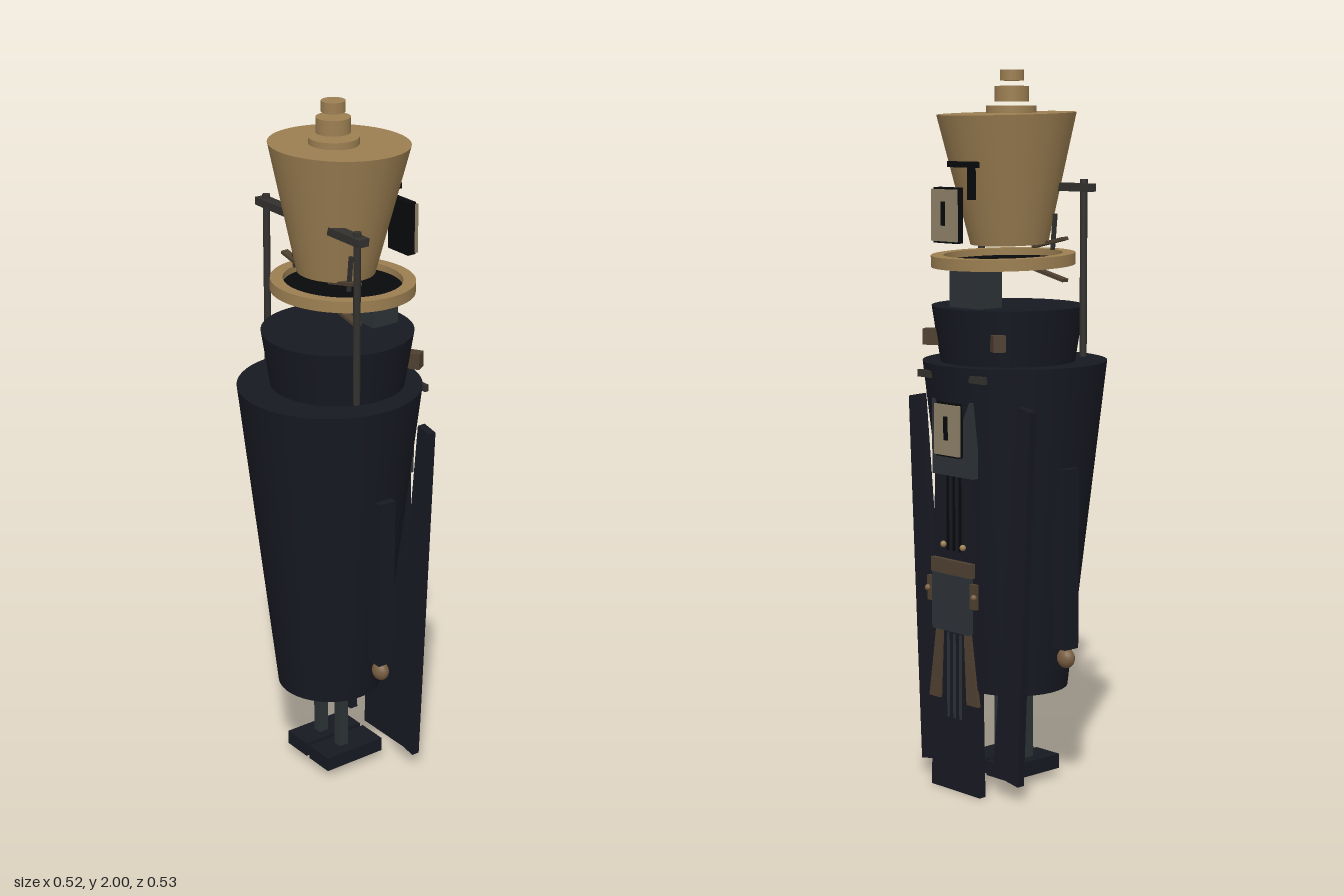
import * as THREE from 'three';

const material = (color) => new THREE.MeshStandardMaterial({ color });

export function createModel() {
  const model = new THREE.Group();
  const tan = material(0x9c7f52), navy = material(0x171922), slate = material(0x2c3236);
  const metal = material(0x33312e), brown = material(0x4e4030), black = material(0x08090b);
  const pale = material(0x8f8168), skin = material(0x7a5f42);

  const add = (name, geometry, mat, x, y, z, parent = model) => {
    const mesh = new THREE.Mesh(geometry, mat);
    mesh.name = name;
    mesh.position.set(x, y, z);
    parent.add(mesh);
    return mesh;
  };
  const box = (name, w, h, d, mat, x, y, z, parent) =>
    add(name, new THREE.BoxGeometry(w, h, d), mat, x, y, z, parent);
  // Round part given by its bottom and top heights
  const cone = (name, rTop, rBottom, y0, y1, mat, z, parent) =>
    add(name, new THREE.CylinderGeometry(rTop, rBottom, y1 - y0, 64), mat, 0, (y0 + y1) / 2, z, parent);
  // Flat panel from an outline in x and y
  const panel = (name, points, depth, mat, z) => {
    const shape = new THREE.Shape(points.map(([x, y]) => new THREE.Vector2(x, y)));
    return add(name, new THREE.ExtrudeGeometry(shape, { depth, bevelEnabled: false }), mat, 0, 0, z);
  };

  // Body
  cone('body', 0.258, 0.15, 0.27, 1.2, navy, 0.005);
  cone('upperTorso', 0.212, 0.18, 1.15, 1.355, navy, -0.022);
  box('neck', 0.12, 0.115, 0.085, slate, 0, 1.41, -0.143);

  // Brim ring with a dark recess
  const brim = new THREE.Group();
  brim.name = 'brim';
  brim.position.set(0, 1.482, -0.04);
  brim.rotation.x = -0.03;
  model.add(brim);
  const rim = [[0, -0.016], [0.2, -0.016], [0.2, -0.016], [0.2, 0.016], [0.2, 0.016],
    [0.165, 0.016], [0.165, 0.016], [0.165, -0.004]];
  add('brimRing', new THREE.LatheGeometry(rim.map(([r, y]) => new THREE.Vector2(r, y)), 64), tan, 0, 0, 0, brim);
  add('brimRecess', new THREE.CylinderGeometry(0.166, 0.166, 0.006, 64), black, 0, -0.006, 0, brim);

  // Tilted head
  const head = new THREE.Group();
  head.name = 'head';
  head.position.set(0, 1.705, -0.022);
  head.rotation.x = -0.03;
  model.add(head);
  cone('headCone', 0.193, 0.108, -0.18, 0.177, tan, 0, head);

  // Stacked finial
  cone('finialBase', 0.069, 0.069, 1.882, 1.902, tan, -0.009);
  cone('finialMiddle', 0.047, 0.047, 1.914, 1.956, tan, -0.007);
  cone('finialTop', 0.033, 0.033, 1.97, 2, tan, -0.007);

  // Marks on the back of the head
  box('headBackBar', 0.11, 0.016, 0.02, black, 0, 1.745, -0.188);
  box('headBackStem', 0.014, 0.1, 0.02, black, -0.03, 1.7, -0.185);

  // Framed plaques on the head and the back
  for (const [name, y, z] of [['headPlaque', 1.61, -0.243], ['backPlaque', 1.025, -0.236]]) {
    box(name + 'Case', 0.09, 0.15, 0.026, black, 0, y, z);
    box(name + 'Face', 0.1, 0.14, 0.008, pale, 0, y, z - 0.014);
    box(name + 'Slot', 0.014, 0.065, 0.006, black, 0, y + 0.005, z - 0.019);
  }

  // Central back tail and its fittings
  panel('backTail', [[-0.1, 0], [0.1, 0], [0.075, 1.16], [-0.075, 1.16]], 0.022, navy, -0.224);
  box('plaqueMount', 0.165, 0.21, 0.02, slate, 0, 1.0, -0.222);
  box('backPack', 0.15, 0.16, 0.03, slate, 0, 0.54, -0.227);
  box('packLid', 0.165, 0.04, 0.026, brown, 0, 0.64, -0.226);
  for (const x of [-0.025, 0, 0.025]) {
    box('upperCord', 0.006, 0.21, 0.006, black, x, 0.79, -0.226);
    box('lowerCord', 0.006, 0.24, 0.006, slate, x, 0.33, -0.226);
  }

  for (const s of [-1, 1]) {
    // Side tails
    const outline = [[0.1, 0.06], [0.2, 0.043], [0.248, 1.09], [0.2, 1.1]].map(([x, y]) => [s * x, y]);
    panel('sideTail', outline, 0.024, navy, -0.174);

    // Straps and knobs on the pack
    const strap = [[0.045, 0.46], [0.07, 0.46], [0.1, 0.26], [0.055, 0.26]].map(([x, y]) => [s * x, y]);
    panel('packStrap', strap, 0.012, brown, -0.232);
    add('packKnob', new THREE.SphereGeometry(0.009, 12, 8), skin, s * 0.095, 0.57, -0.24);
    box('packHandle', 0.03, 0.07, 0.012, brown, s * 0.085, 0.57, -0.232);
    add('packStud', new THREE.SphereGeometry(0.009, 12, 8), tan, s * 0.04, 0.7, -0.23);
    const bracket = box('shoulderBracket', 0.055, 0.045, 0.035, brown, s * 0.13, 1.268, -0.182);
    bracket.rotation.y = s * 0.55;
    box('backClasp', 0.06, 0.02, 0.012, metal, s * 0.105, 1.17, -0.232);

    // Arm and hand
    box('arm', 0.048, 0.505, 0.052, navy, s * 0.222, 0.667, -0.012);
    add('hand', new THREE.SphereGeometry(0.028, 16, 12), skin, s * 0.222, 0.385, -0.01).scale.z = 0.8;

    // Leg and foot
    box('leg', 0.028, 0.23, 0.03, slate, s * 0.05, 0.17, 0);
    box('foot', 0.092, 0.042, 0.198, navy, s * 0.053, 0.045, -0.014);

    // Pole and arm beside the head
    add('pole', new THREE.CylinderGeometry(0.01, 0.01, 0.48, 16), metal, s * 0.206, 1.46, 0.068);
    add('poleCap', new THREE.CylinderGeometry(0.011, 0.011, 0.016, 16), metal, s * 0.206, 1.697, 0.068);
    box('poleArm', 0.138, 0.022, 0.034, metal, s * 0.166, 1.682, 0.068);

    // Slanted struts around the brim
    for (const [y, tilt] of [[1.53, 0.22], [1.442, -0.22]])
      box('brimStrut', 0.125, 0.009, 0.022, brown, s * 0.108, y, 0.035).rotation.z = s * tilt;
    box('cheekStrut', 0.009, 0.1, 0.01, metal, s * 0.127, 1.56, 0.032).rotation.z = -s * 0.1;
  }
  return model;
}
